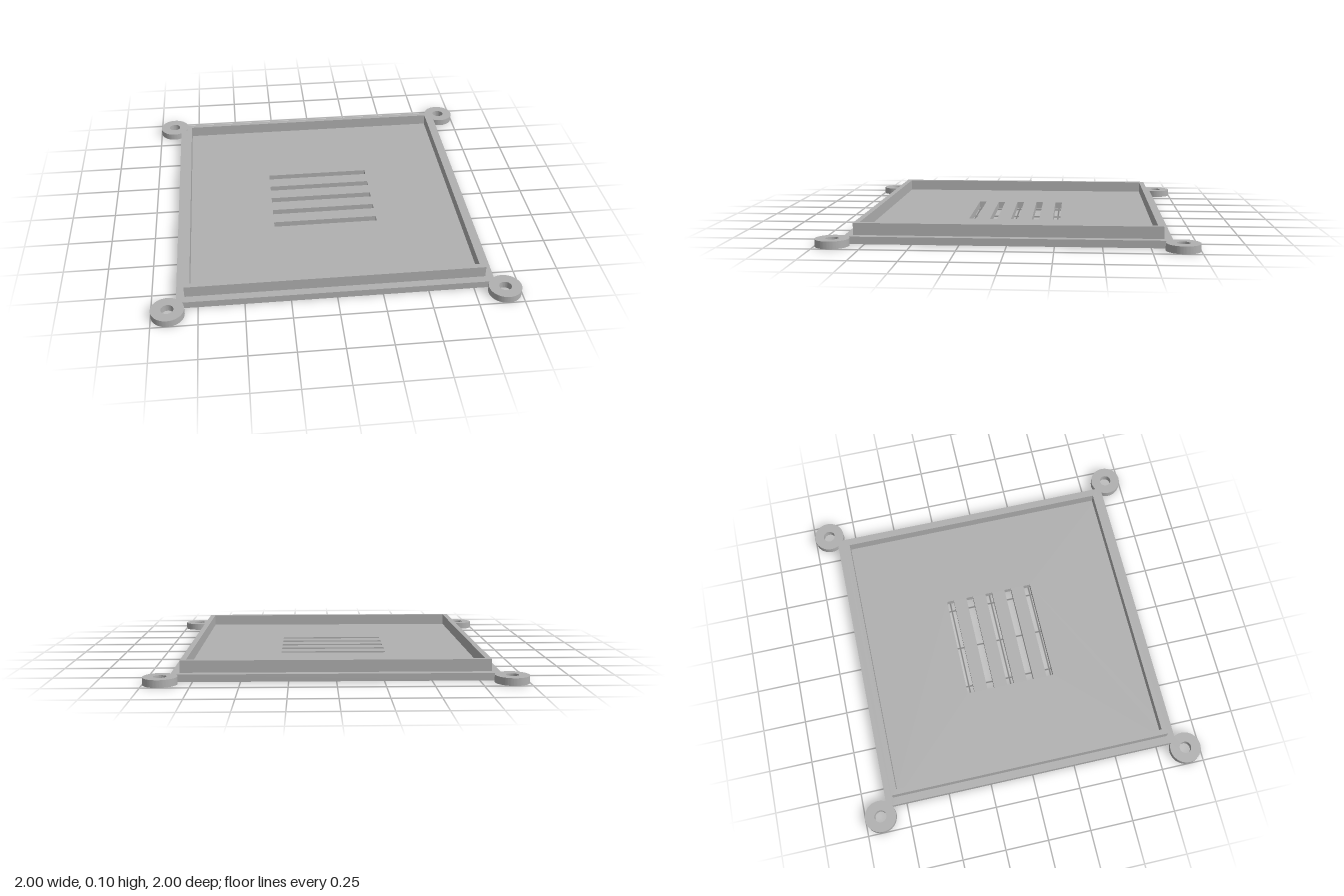
import * as THREE from 'three';
import { toCreasedNormals } from 'three/addons/utils/BufferGeometryUtils.js';

const HALF = 0.865;      // half width of the base plate
const EAR = 0.91;        // offset of the screw ear centres
const EAR_R = 0.09;
const HOLE_R = 0.034;
const BASE_H = 0.04;
const LIP_TOP = 0.105;

// Rectangle centred on (0, cy)
function rect(PathType, halfW, halfH, cy = 0) {
  const p = new PathType();
  p.moveTo(-halfW, cy - halfH);
  p.lineTo(halfW, cy - halfH);
  p.lineTo(halfW, cy + halfH);
  p.lineTo(-halfW, cy + halfH);
  p.closePath();
  return p;
}

// Extrude a plan shape upwards between two heights
function slab(name, shape, y0, y1, material) {
  const geo = new THREE.ExtrudeGeometry(shape, { depth: y1 - y0, bevelEnabled: false, curveSegments: 40 });
  geo.rotateX(-Math.PI / 2).translate(0, y0, 0);
  const mesh = new THREE.Mesh(toCreasedNormals(geo, Math.PI / 6), material);
  mesh.name = name;
  return mesh;
}

export function createModel() {
  const group = new THREE.Group();
  group.name = 'ventedCover';
  const grey = new THREE.MeshStandardMaterial({ color: 0xb0b0b0 });
  grey.name = 'grey plastic';

  // Base plate outline: a square whose corners swell into round screw ears
  const base = new THREE.Shape();
  const cut = Math.acos((EAR - HALF) / EAR_R);      // where an ear meets the plate edge
  const corners = [[1, -1], [1, 1], [-1, 1], [-1, -1]];
  corners.forEach(([sx, sy], i) => {
    const turn = (i - 1) * Math.PI / 2;
    const start = turn - Math.PI + cut;
    const end = turn + 1.5 * Math.PI - cut;
    const cx = sx * EAR, cy = sy * EAR;
    const x = cx + EAR_R * Math.cos(start), y = cy + EAR_R * Math.sin(start);
    if (i === 0) base.moveTo(x, y);
    else base.lineTo(x, y);
    base.absarc(cx, cy, EAR_R, start, end, false);

    // Screw hole
    const hole = new THREE.Path();
    hole.absarc(cx, cy, HOLE_R, 0, Math.PI * 2, true);
    base.holes.push(hole);
  });
  base.closePath();

  // Five ventilation slots
  for (let i = -2; i <= 2; i++) {
    base.holes.push(rect(THREE.Path, 0.303, 0.021, 0.004 + i * 0.1215));
  }
  group.add(slab('basePlate', base, 0, BASE_H, grey));

  // Raised square lip
  const lip = rect(THREE.Shape, 0.82, 0.82);
  lip.holes.push(rect(THREE.Path, 0.789, 0.789));
  group.add(slab('raisedLip', lip, BASE_H, LIP_TOP, grey));

  return group;
}
